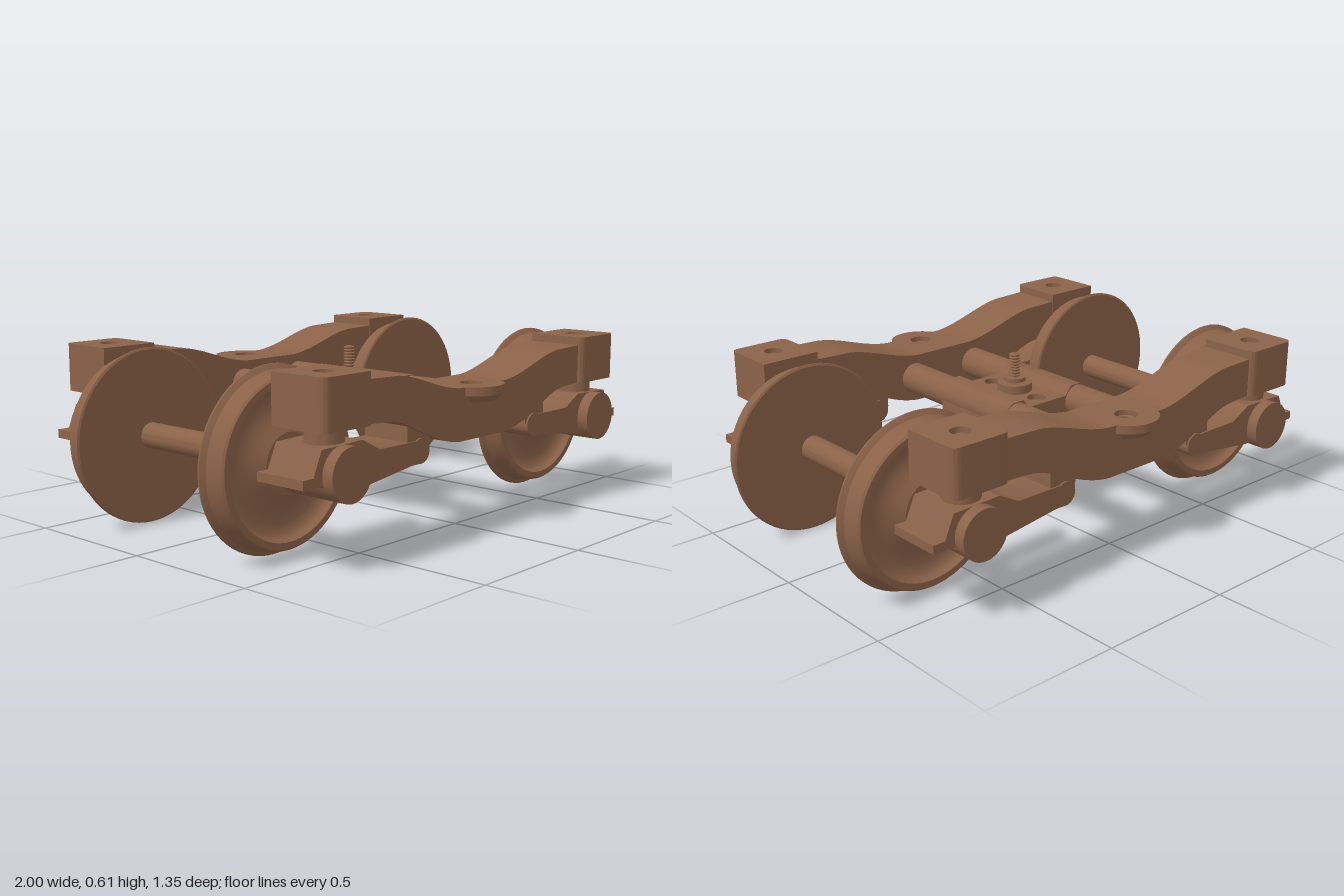
import * as THREE from 'three';
import { toCreasedNormals } from 'three/addons/utils/BufferGeometryUtils.js';

const brown = new THREE.MeshStandardMaterial({ color: 0x8b6249 });
brown.name = 'brown';

function add(parent, name, geometry) {
  const mesh = new THREE.Mesh(toCreasedNormals(geometry, 0.5), brown);
  mesh.name = name;
  parent.add(mesh);
  return mesh;
}

const toShape = (pts) => new THREE.Shape(pts.map(([x, y]) => new THREE.Vector2(x, y)));

// Side profile in x, y swept along z
function profile(shape, z0, z1) {
  const g = new THREE.ExtrudeGeometry(shape, { depth: z1 - z0, bevelEnabled: false, curveSegments: 12 });
  return g.translate(0, 0, z0);
}

// Plan outline in x, -z raised along y
function plan(shape, y0, y1) {
  const g = new THREE.ExtrudeGeometry(shape, { depth: y1 - y0, bevelEnabled: false, curveSegments: 24 });
  return g.rotateX(-Math.PI / 2).translate(0, y0, 0);
}

function hole(shape, x, z, r) {
  const p = new THREE.Path();
  p.absarc(x, -z, r, 0, Math.PI * 2, true);
  shape.holes.push(p);
  return shape;
}

const lathe = (pts, n = 32) => new THREE.LatheGeometry(pts.map(([x, y]) => new THREE.Vector2(x, y)), n);
const rodZ = (r, z0, z1, x, y, n = 32) =>
  new THREE.CylinderGeometry(r, r, z1 - z0, n).rotateX(Math.PI / 2).translate(x, y, (z0 + z1) / 2);
const rodY = (r, y0, y1, x, z, r2 = r) =>
  new THREE.CylinderGeometry(r, r2, y1 - y0, 32).translate(x, (y0 + y1) / 2, z);

// Flanged wheel: flat inside, dished outside
const wheelProfile = [
  [0, 0.297], [0.3, 0.297], [0.307, 0.301], [0.307, 0.307], [0.3, 0.313], [0.291, 0.32],
  [0.28, 0.376], [0.274, 0.383], [0.252, 0.383], [0.244, 0.365], [0.232, 0.355], [0.2, 0.345],
  [0.16, 0.35], [0.125, 0.368], [0.1, 0.382], [0, 0.382],
];

// One end of a side: bearing pad, journal, swing arm and wheel
function buildEnd(side, s) {
  const end = new THREE.Group();
  end.name = s > 0 ? 'outerEndLeft' : 'outerEndRight';
  side.add(end);
  const cx = s * 0.686, cz = 0.525;

  // Spring housing with rounded outer corners and a bolt hole
  const outline = () => {
    const a = cx - 0.11, b = cx + 0.11, r = 0.03;
    const p = new THREE.Shape();
    p.moveTo(a, -0.41);
    p.lineTo(a, -0.63 + r);
    p.quadraticCurveTo(a, -0.63, a + r, -0.63);
    p.lineTo(b - r, -0.63);
    p.quadraticCurveTo(b, -0.63, b, -0.63 + r);
    p.lineTo(b, -0.41);
    p.closePath();
    return p;
  };
  add(end, 'housing', plan(outline(), 0.445, 0.58));
  add(end, 'housingTop', plan(hole(outline(), cx, cz, 0.034), 0.58, 0.613));
  add(end, 'housingBolt', rodY(0.018, 0.575, 0.6, cx, cz));
  add(end, 'springPost', rodY(0.063, 0.38, 0.45, cx, cz));

  // Swing arm with its lip, pivot and stop block
  const arm = [
    [0.86, 0.285], [0.86, 0.315], [0.815, 0.315], [0.78, 0.395], [0.6, 0.4], [0.52, 0.358],
    [0.32, 0.357], [0.32, 0.281], [0.36, 0.281], [0.6, 0.25], [0.74, 0.25], [0.78, 0.285],
  ].map(([x, y]) => [s * x, y]);
  add(end, 'swingArm', profile(toShape(arm), 0.412, 0.604));
  add(end, 'armPivot', rodZ(0.042, 0.412, 0.604, s * 0.317, 0.322));
  add(end, 'armStop', new THREE.BoxGeometry(0.11, 0.1, 0.18).translate(s * 0.325, 0.38, 0.508));
  add(end, 'journal', rodZ(0.088, 0.412, 0.645, s * 0.69, 0.31, 40));

  add(end, 'wheel', lathe(wheelProfile, 64).rotateX(Math.PI / 2)
    .scale(1, 1, -1 * -1).translate(s * 0.692, 0.309, 0));
}

function buildSide(name) {
  const side = new THREE.Group();
  side.name = name;

  // Cranked side beam, notched in the middle for the lug plate
  const f = new THREE.Shape();
  f.moveTo(-0.13, 0.475);
  f.lineTo(0.13, 0.475);
  f.lineTo(0.13, 0.505);
  f.bezierCurveTo(0.24, 0.515, 0.34, 0.57, 0.44, 0.58);
  f.lineTo(0.6, 0.585);
  f.lineTo(0.6, 0.447);
  f.lineTo(0.48, 0.44);
  f.quadraticCurveTo(0.43, 0.435, 0.38, 0.41);
  f.bezierCurveTo(0.28, 0.365, 0.2, 0.328, 0.12, 0.325);
  f.lineTo(-0.12, 0.325);
  f.bezierCurveTo(-0.2, 0.328, -0.28, 0.365, -0.38, 0.41);
  f.quadraticCurveTo(-0.43, 0.435, -0.48, 0.44);
  f.lineTo(-0.6, 0.447);
  f.lineTo(-0.6, 0.585);
  f.lineTo(-0.44, 0.58);
  f.bezierCurveTo(-0.34, 0.57, -0.24, 0.515, -0.13, 0.505);
  f.closePath();
  add(side, 'sideBeam', profile(f, 0.412, 0.612));

  // Lug plate with a round outer bulge and a socket
  const lug = new THREE.Shape();
  const a = Math.asin(0.052 / 0.113);
  lug.moveTo(-0.13, -0.412);
  lug.lineTo(-0.13, -0.612);
  lug.absarc(0, -0.56, 0.113, Math.PI + a, Math.PI * 2 - a, false);
  lug.lineTo(0.13, -0.612);
  lug.lineTo(0.13, -0.412);
  lug.closePath();
  add(side, 'lugPlate', plan(hole(lug, 0, 0.56, 0.04), 0.475, 0.505));
  add(side, 'lugSupport', rodY(0.108, 0.45, 0.475, 0, 0.56, 0.085));
  add(side, 'lugSocketRing', new THREE.TorusGeometry(0.033, 0.007, 8, 32)
    .rotateX(Math.PI / 2).translate(0, 0.482, 0.56));

  for (const s of [-1, 1]) buildEnd(side, s);
  return side;
}

function buildCentre() {
  const centre = new THREE.Group();
  centre.name = 'centre';

  for (const s of [-1, 1]) {
    add(centre, 'crossTube', rodZ(0.057, -0.42, 0.42, s * 0.145, 0.418));
    add(centre, 'axle', rodZ(0.045, -0.42, 0.42, s * 0.69, 0.31));
    const saddle = [
      [0.09, 0.363], [0.2, 0.363], [0.2, 0.43], [0.192, 0.455], [0.175, 0.472],
      [0.16, 0.478], [0.115, 0.478], [0.09, 0.445],
    ].map(([x, y]) => [s * x, y]);
    add(centre, 'tubeSaddle', profile(toShape(saddle), -0.176, 0.176));
  }

  // Middle plate with two countersunk through holes
  const slab = (r) => {
    const p = toShape([[-0.09, -0.176], [0.09, -0.176], [0.09, 0.176], [-0.09, 0.176]]);
    for (const z of [-0.118, 0.118]) hole(p, 0, z, r);
    return p;
  };
  add(centre, 'middlePlate', plan(slab(0.019), 0.363, 0.425));
  add(centre, 'middlePlateTop', plan(slab(0.034), 0.425, 0.445));

  // Pivot boss, washer and threaded stud
  add(centre, 'pivotBoss', rodY(0.063, 0.44, 0.476, 0, 0));
  add(centre, 'washerNeck', rodY(0.025, 0.47, 0.486, 0, 0));
  add(centre, 'washer', rodY(0.04, 0.483, 0.496, 0, 0));
  const thread = [[0, 0.49], [0.015, 0.49]];
  for (let i = 0; i < 8; i++) {
    const y = 0.498 + i * 0.011;
    thread.push([0.015, y], [0.02, y + 0.003], [0.02, y + 0.006], [0.015, y + 0.009]);
  }
  thread.push([0, 0.585]);
  add(centre, 'threadedStud', lathe(thread, 24));
  return centre;
}

export function createModel() {
  const model = new THREE.Group();
  model.name = 'railBogie';
  const front = buildSide('frontSide');
  const back = buildSide('backSide');
  back.rotation.y = Math.PI;
  model.add(front, back, buildCentre());
  return model;
}
